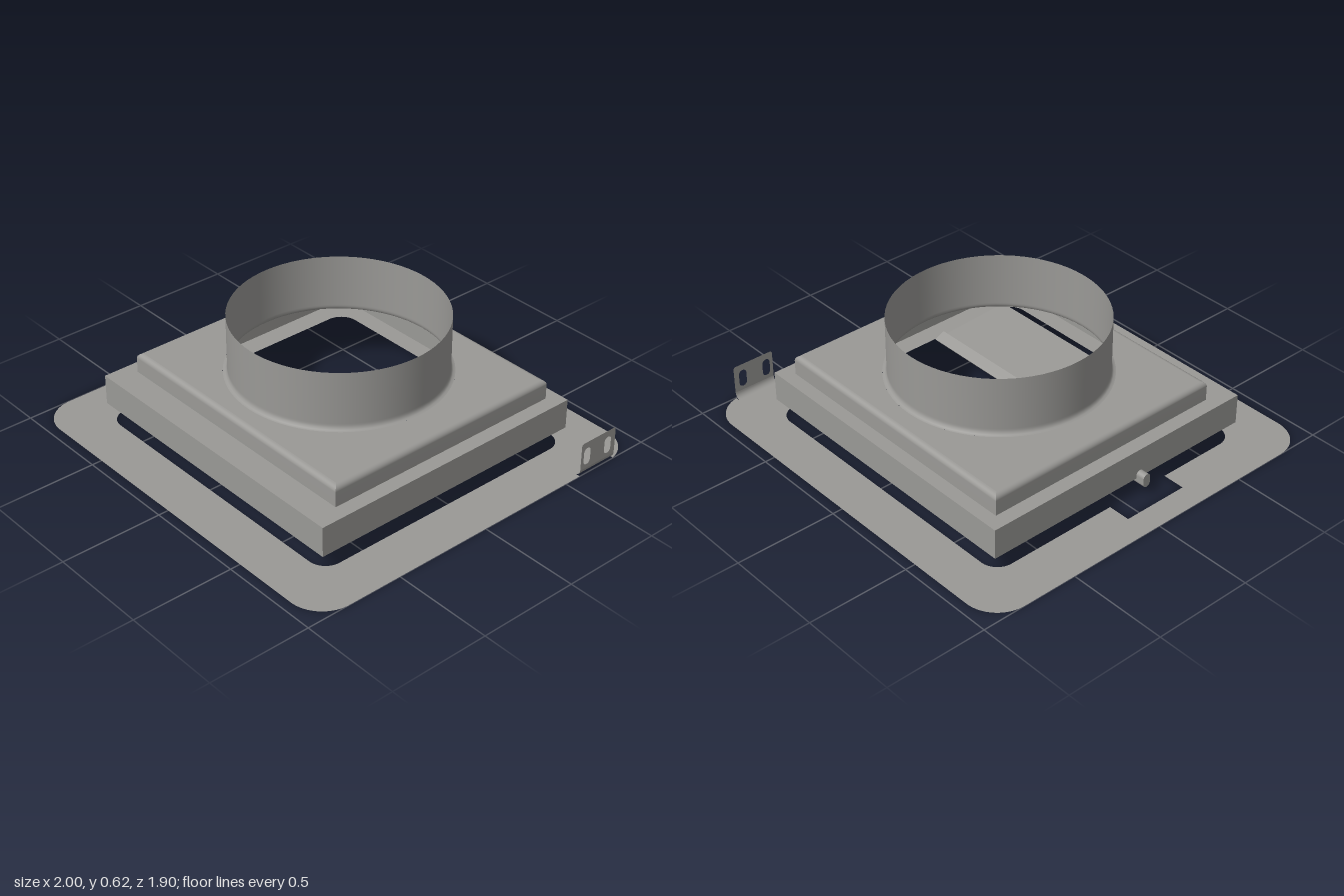
import * as THREE from 'three';

const steel = new THREE.MeshStandardMaterial({ color: 0x9a9996, side: THREE.DoubleSide });
steel.name = 'sheetSteel';

// Open sheet through a list of point pairs [[ax,ay,az],[bx,by,bz]]
function strip(pairs, flat = false) {
  const index = [];
  for (let i = 0; i < pairs.length - 1; i++) {
    const a = i * 2;
    index.push(a, a + 1, a + 2, a + 1, a + 3, a + 2);
  }
  let g = new THREE.BufferGeometry();
  g.setAttribute('position', new THREE.Float32BufferAttribute(pairs.flat(2), 3));
  g.setIndex(index);
  if (flat) g = g.toNonIndexed();
  g.computeVertexNormals();
  return g;
}

// Rounded rectangle outline added to a shape or path
function roundRect(p, x0, x1, y0, y1, r) {
  p.moveTo(x0 + r, y0);
  p.lineTo(x1 - r, y0);
  p.absarc(x1 - r, y0 + r, r, -Math.PI / 2, 0);
  p.lineTo(x1, y1 - r);
  p.absarc(x1 - r, y1 - r, r, 0, Math.PI / 2);
  p.lineTo(x0 + r, y1);
  p.absarc(x0 + r, y1 - r, r, Math.PI / 2, Math.PI);
  p.lineTo(x0, y0 + r);
  p.absarc(x0 + r, y0 + r, r, Math.PI, Math.PI * 1.5);
  return p;
}

function rect(p, x0, x1, y0, y1) {
  p.moveTo(x0, y0).lineTo(x1, y0).lineTo(x1, y1).lineTo(x0, y1).closePath();
  return p;
}
for (const C of [THREE.Path]) {
  // chainable outline drawing
  rect = ((draw) => (p, x0, x1, y0, y1) => draw(p, x0, x1, y0, y1))((p, x0, x1, y0, y1) => {
    p.moveTo(x0, y0); p.lineTo(x1, y0); p.lineTo(x1, y1); p.lineTo(x0, y1); p.closePath();
    return p;
  });
}

// Horizontal plate from a shape drawn in x and z
const plate = (shape, y) =>
  new THREE.ShapeGeometry(shape, 24).rotateX(Math.PI / 2).translate(0, y, 0);

export function createModel() {
  const model = new THREE.Group();
  model.name = 'ductAdapter';
  const add = (name, geometry, parent = model) => {
    const m = new THREE.Mesh(geometry, steel);
    m.name = name;
    parent.add(m);
    return m;
  };

  // Four folded walls round a rectangle; profile is a list of [inset, y]
  const walls = (name, [x0, x1, z0, z1], profile) => {
    const group = new THREE.Group();
    group.name = name;
    model.add(group);
    const corners = ([d, y]) => [
      [x0 + d, y, z1 - d], [x1 - d, y, z1 - d], [x1 - d, y, z0 + d], [x0 + d, y, z0 + d],
    ];
    ['front', 'left', 'back', 'right'].forEach((side, i) => {
      const pairs = profile.map((p) => [corners(p)[i], corners(p)[(i + 1) % 4]]);
      add(side + 'Wall', strip(pairs), group);
    });
  };

  const skirt = [-0.768, 0.768, -0.737, 0.723];
  const tray = [-0.697, 0.695, -0.67, 0.589];
  const bend = 0.025, trayTop = 0.33, ledgeY = 0.23;
  const collarR = 0.508, collarZ = -0.037;
  const tabBack = -0.81, tabFront = -0.59, tabBend = 0.03;

  // Base flange, cut away where the tab folds up
  const r = 0.17, X = 1, Z = 0.95;
  const outline = new THREE.Shape();
  outline.moveTo(-X + r, -Z);
  outline.lineTo(X - r, -Z);
  outline.absarc(X - r, -Z + r, r, -Math.PI / 2, -0.18);
  [[X - tabBend, tabBack], [X - tabBend, tabFront], [X, tabFront], [X, Z - r]]
    .forEach(([x, z]) => outline.lineTo(x, z));
  outline.absarc(X - r, Z - r, r, 0, Math.PI / 2);
  outline.lineTo(-X + r, Z);
  outline.absarc(-X + r, Z - r, r, Math.PI / 2, Math.PI);
  outline.lineTo(-X, -Z + r);
  outline.absarc(-X + r, -Z + r, r, Math.PI, Math.PI * 1.5);

  // Opening with a side notch for the shaft
  const [hx0, hx1, hz0, hz1] = [-0.765, 0.765, -0.733, 0.718], hr = 0.09;
  const opening = new THREE.Path();
  opening.moveTo(hx0 + hr, hz0);
  opening.lineTo(hx1 - hr, hz0);
  opening.absarc(hx1 - hr, hz0 + hr, hr, -Math.PI / 2, 0);
  opening.lineTo(hx1, hz1 - hr);
  opening.absarc(hx1 - hr, hz1 - hr, hr, 0, Math.PI / 2);
  opening.lineTo(hx0 + hr, hz1);
  opening.absarc(hx0 + hr, hz1 - hr, hr, Math.PI / 2, Math.PI);
  [[hx0, 0.27], [-0.877, 0.27], [-0.877, -0.067], [hx0, -0.067], [hx0, hz0 + hr]]
    .forEach(([x, z]) => opening.lineTo(x, z));
  opening.absarc(hx0 + hr, hz0 + hr, hr, Math.PI, Math.PI * 1.5);
  outline.holes.push(opening);
  add('baseFlange', plate(outline, 0));

  // Upright tab with two slots, and the bend joining it to the flange
  const tab = new THREE.Shape();
  tab.moveTo(-tabFront, tabBend);
  tab.lineTo(-tabBack, tabBend);
  tab.lineTo(-tabBack, 0.155);
  tab.quadraticCurveTo(-tabBack, 0.17, -tabBack - 0.015, 0.17);
  tab.lineTo(-tabFront + 0.015, 0.17);
  tab.quadraticCurveTo(-tabFront, 0.17, -tabFront, 0.155);
  for (const c of [0.628, 0.762])
    tab.holes.push(roundRect(new THREE.Path(), c - 0.021, c + 0.021, 0.05, 0.137, 0.0205));
  add('mountingTab', new THREE.ShapeGeometry(tab, 12).rotateY(Math.PI / 2).translate(X, 0, 0));
  const tabCurve = [];
  for (let i = 0; i <= 6; i++) {
    const a = (i / 6) * Math.PI / 2;
    const x = X - tabBend + tabBend * Math.sin(a), y = tabBend * (1 - Math.cos(a));
    tabCurve.push([[x, y, tabFront], [x, y, tabBack]]);
  }
  add('tabBend', strip(tabCurve));

  // Lower skirt and its ledge
  walls('skirt', skirt, [[0, 0.08], [0, ledgeY]]);
  const ledge = rect(new THREE.Shape(), ...skirt);
  ledge.holes.push(rect(new THREE.Path(), ...tray));
  add('ledge', plate(ledge, ledgeY));

  // Raised tray with rounded upper edges
  const trayProfile = [[0, ledgeY]];
  for (let i = 0; i <= 6; i++) {
    const a = (i / 6) * Math.PI / 2;
    trayProfile.push([bend * (1 - Math.cos(a)), trayTop - bend + bend * Math.sin(a)]);
  }
  walls('tray', tray, trayProfile);
  const [tx0, tx1, tz0, tz1] = tray;
  const top = rect(new THREE.Shape(), tx0 + bend, tx1 - bend, tz0 + bend, tz1 - bend);
  const hole = new THREE.Path();
  hole.absarc(0, collarZ, collarR + 0.02, 0, Math.PI * 2);
  top.holes.push(hole);
  add('trayTop', plate(top, trayTop));

  // Round collar with a small flare at its foot
  const collar = [[0.02, 0.33], [0.009, 0.333], [0.002, 0.341], [0, 0.352], [0, 0.36], [0, 0.62]]
    .map(([d, y]) => new THREE.Vector2(collarR + d, y));
  add('collar', new THREE.LatheGeometry(collar, 72)).position.z = collarZ;

  // Damper blade with a folded edge
  const blade = [[0.6, 0.082], [0.19, 0.06], [0.165, 0.05], [0.158, 0.06], [0.21, 0.085]];
  add('damperBlade', strip(blade.map(([z, y]) => [[-0.692, y, z], [0.692, y, z]]), true));

  // Flattened shaft end through the side wall
  const pin = roundRect(new THREE.Shape(), -0.02, 0.02, 0.05, 0.117, 0.0195);
  add('shaftEnd', new THREE.ExtrudeGeometry(pin, { depth: 0.06, bevelEnabled: false, curveSegments: 8 })
    .rotateY(Math.PI / 2).translate(-0.812, 0, 0.107));

  return model;
}
